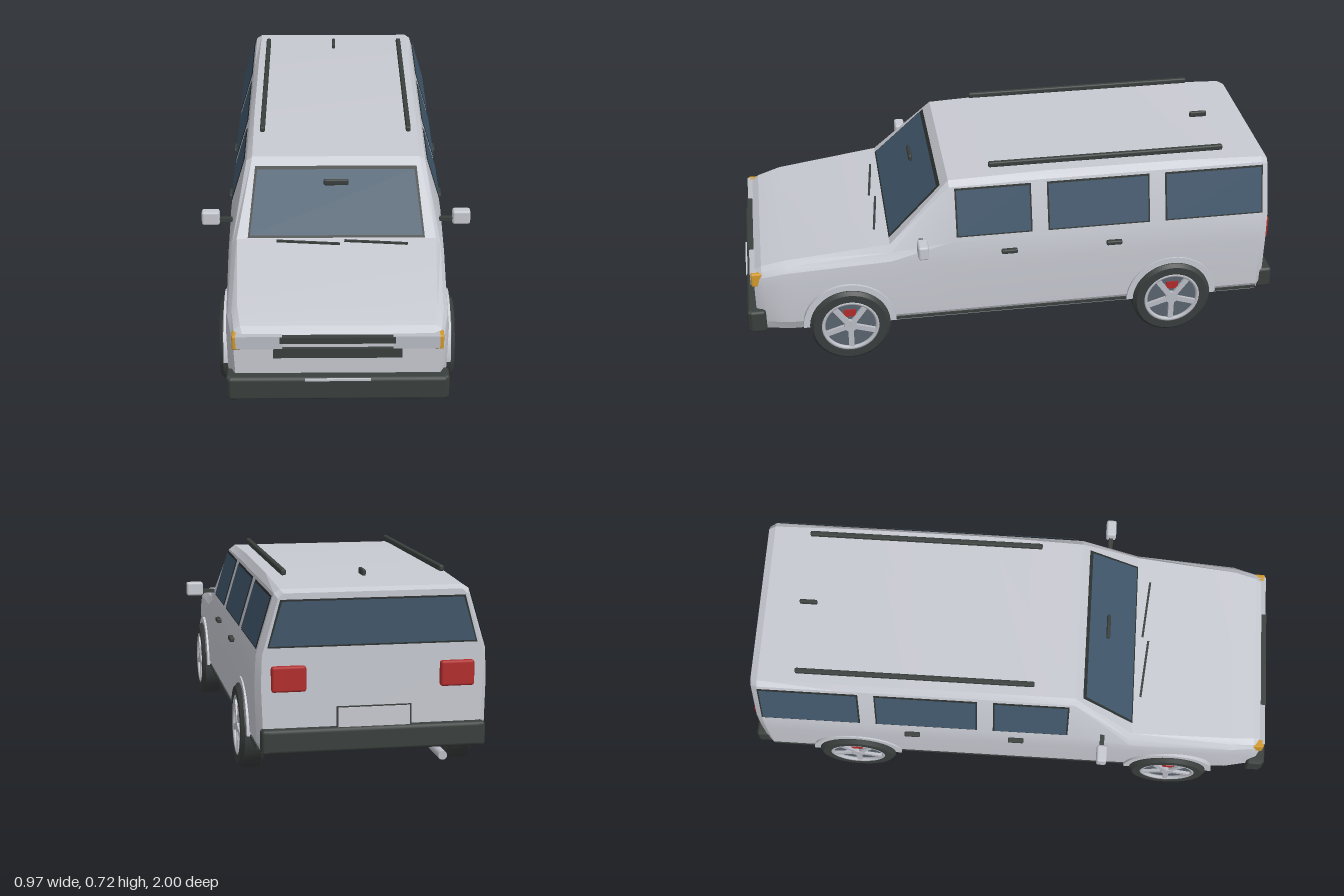
import * as THREE from 'three';
import { toCreasedNormals } from 'three/addons/utils/BufferGeometryUtils.js';
import { RoundedBoxGeometry } from 'three/addons/geometries/RoundedBoxGeometry.js';

const mat = (name, color, side = THREE.FrontSide) => {
  const m = new THREE.MeshStandardMaterial({ color, side });
  m.name = name;
  return m;
};

export function createModel() {
  const silver = mat('silverPaint', 0xc8cad2);
  const trim = mat('blackTrim', 0x3a403d);
  const seal = mat('windowSeal', 0x2c3130, THREE.DoubleSide);
  const glass = mat('tintedGlass', 0x40566a, THREE.DoubleSide);
  const rubber = mat('tyreRubber', 0x393e3d);
  const alloy = mat('alloy', 0xbcbec6);
  const brake = mat('brakeSteel', 0x5a6470);
  const red = mat('redLens', 0xb22c2c);
  const amber = mat('amberLens', 0xd29a2c);

  const car = new THREE.Group();
  car.name = 'estateCar';

  const add = (name, geo, material, x = 0, y = 0, z = 0, parent = car) => {
    const m = new THREE.Mesh(geo, material);
    m.name = name;
    m.position.set(x, y, z);
    parent.add(m);
    return m;
  };
  const box = (name, w, h, d, material, x, y, z, parent) =>
    add(name, new THREE.BoxGeometry(w, h, d), material, x, y, z, parent);
  const soft = (name, w, h, d, r, material, x, y, z) =>
    add(name, new RoundedBoxGeometry(w, h, d, 1, r), material, x, y, z);
  const quad = (name, pts, material) => {
    const g = new THREE.BufferGeometry();
    g.setAttribute('position', new THREE.Float32BufferAttribute(pts.flat(), 3));
    g.setIndex([0, 1, 2, 0, 2, 3]);
    g.computeVertexNormals();
    return add(name, g, material);
  };

  // Body shell: half sections (x, y) from sill to roof edge, lofted along z
  const sections = [
    [-0.93, [.35, .135], [.365, .17], [.372, .36], [.368, .46], [.315, .645], [.297, .662]],
    [-0.905, [.365, .127], [.385, .165], [.39, .36], [.385, .46], [.325, .66], [.305, .673]],
    [-0.6, [.365, .127], [.385, .165], [.39, .36], [.385, .46], [.325, .66], [.307, .684]],
    [-0.1, [.365, .127], [.385, .165], [.39, .36], [.385, .46], [.325, .66], [.307, .685]],
    [0.25, [.365, .127], [.385, .165], [.39, .36], [.385, .46], [.325, .655], [.303, .672]],
    [0.47, [.365, .127], [.385, .165], [.39, .34], [.386, .4], [.373, .43], [.355, .455]],
    [0.85, [.36, .127], [.375, .165], [.378, .33], [.372, .375], [.357, .395], [.337, .41]],
    [0.935, [.345, .13], [.357, .165], [.362, .32], [.357, .355], [.347, .375], [.325, .387]],
    [0.965, [.33, .135], [.342, .165], [.347, .3], [.344, .335], [.336, .355], [.315, .365]],
  ];
  const pos = [], idx = [];
  for (const [z, ...half] of sections) {
    for (const [x, y] of half) pos.push(x, y, z);
    for (const [x, y] of [...half].reverse()) pos.push(-x, y, z);
  }
  const n = 12, last = (sections.length - 1) * n;
  for (let s = 0; s < sections.length - 1; s++) {
    for (let i = 0; i < n; i++) {
      const a = s * n + i, b = s * n + (i + 1) % n;
      idx.push(a, b, b + n, a, b + n, a + n);
    }
  }
  for (let i = 1; i < n - 1; i++) {
    idx.push(0, i + 1, i, last, last + i, last + i + 1);
  }
  const shell = new THREE.BufferGeometry();
  shell.setAttribute('position', new THREE.Float32BufferAttribute(pos, 3));
  shell.setIndex(idx);
  add('bodyShell', toCreasedNormals(shell, 0.3), silver);

  // Side windows on the sloping greenhouse
  const sideX = (y) => 0.385 - (y - 0.46) * 0.3;
  for (const s of [1, -1]) {
    for (const [z0, z1] of [[.225, -.04], [-.11, -.475], [-.545, -.9]]) {
      const pane = (name, grow, off, m) => {
        const lo = 0.484 - grow, hi = 0.646 + grow;
        const at = (y, z) => [s * (sideX(y) + off), y, z];
        quad(name, [at(lo, z0 + grow), at(lo, z1 - grow), at(hi, z1 - grow), at(hi, z0 + grow)], m);
      };
      pane('sideWindowSeal', 0.006, 0.004, seal);
      pane('sideWindow', 0, 0.007, glass);
    }
  }

  // Windscreen and rear window, each with a seal behind the glass
  const screen = (name, grow, off, m) => {
    const at = (x, y) => [x, y, 0.47 - (y - 0.455) * 1.014 + off];
    const lo = 0.466 - grow, hi = 0.64 + grow, wl = 0.308 + grow, wh = 0.284 + grow;
    quad(name, [at(-wl, lo), at(wl, lo), at(wh, hi), at(-wh, hi)], m);
  };
  screen('windscreenSeal', 0.008, 0.004, seal);
  screen('windscreen', 0, 0.008, glass);
  const rear = (name, grow, z, m) => {
    const lo = 0.49 - grow, hi = 0.636 + grow, wl = 0.345 + grow, wh = 0.302 + grow;
    quad(name, [[wl, lo, z], [-wl, lo, z], [-wh, hi, z], [wh, hi, z]], m);
  };
  rear('rearWindowSeal', 0.006, -0.933, seal);
  rear('rearWindow', 0, -0.936, glass);

  // Bumpers with wrapped corners, plates
  soft('frontBumper', .74, .088, .055, .012, trim, 0, .175, .9725);
  soft('rearBumper', .74, .08, .045, .012, trim, 0, .178, -.945);
  for (const s of [1, -1]) {
    soft('frontBumperCorner', .03, .088, .06, .01, trim, s * .36, .175, .962);
    soft('rearBumperCorner', .03, .08, .055, .01, trim, s * .36, .178, -.94);
  }
  box('frontPlate', .22, .008, .006, silver, 0, .213, .998);
  box('rearPlateBorder', .25, .08, .004, trim, 0, .247, -.948);
  box('rearPlate', .24, .072, .006, silver, 0, .247, -.95);

  // Grille bars
  box('upperGrille', .385, .024, .024, trim, 0, .356, .968);
  box('lowerGrille', .43, .036, .018, trim, 0, .304, .968);

  // Roof antenna, interior mirror, wipers, exhaust
  soft('antenna', .014, .022, .065, .005, trim, 0, .7, -.745);
  soft('viewMirror', .09, .024, .014, .006, trim, 0, .624, .36);
  for (const x of [-.1, .14]) {
    box('wiper', .225, .007, .008, trim, x, .461, .508).rotation.y = -0.1;
  }
  const pipe = add('exhaust', new THREE.CylinderGeometry(.015, .015, .13, 16), alloy, -.22, .119, -.935);
  pipe.rotation.x = Math.PI / 2;

  // Mirrored details
  for (const s of [1, -1]) {
    box('headlight', .155, .048, .03, alloy, s * .262, .346, .962);
    soft('cornerLight', .034, .054, .045, .006, amber, s * .336, .343, .952);
    soft('tailLight', .115, .085, .03, .008, red, s * .282, .382, -.935);
    soft('roofRail', .018, .02, .865, .005, trim, s * .27, .706, -.333);
    box('mirrorStalk', .055, .014, .016, trim, s * .402, .474, .36);
    soft('wingMirror', .065, .053, .038, .008, silver, s * .453, .484, .36);
    for (const z of [.04, -.348]) soft('doorHandle', .018, .016, .058, .004, trim, s * .395, .41, z);
    for (const [z0, z1] of [[.46, -.41], [-.74, -.905]]) {
      box('sillStrip', .008, .01, z0 - z1, trim, s * .38, .148, (z0 + z1) / 2);
    }
  }

  // Wheels, built with the axle along +x, and arch lips above them
  const tyreProfile = [[.098, -.042], [.135, -.042], [.147, -.03], [.147, .03], [.135, .042],
    [.106, .042], [.1, .026]].map(([r, a]) => new THREE.Vector2(r, a));
  const tyreGeo = toCreasedNormals(new THREE.LatheGeometry(tyreProfile, 40).rotateZ(-Math.PI / 2), 0.6);
  const disc = (r, d) => new THREE.CylinderGeometry(r, r, d, 32).rotateZ(-Math.PI / 2);
  const rimGeo = new THREE.TorusGeometry(.1, .008, 8, 40).rotateY(Math.PI / 2);

  const lipShape = new THREE.Shape();
  lipShape.absarc(0, 0, .17, 0, Math.PI, false);
  lipShape.absarc(0, 0, .147, Math.PI, 0, true);
  const lipGeo = new THREE.ExtrudeGeometry(lipShape, { depth: .02, bevelEnabled: false, curveSegments: 24 })
    .rotateY(Math.PI / 2);

  for (const s of [1, -1]) {
    for (const z of [.63, -.575]) {
      const wheel = new THREE.Group();
      wheel.name = 'wheel';
      wheel.position.set(s * .368, .147, z);
      if (s < 0) wheel.rotation.y = Math.PI;
      car.add(wheel);
      add('tyre', tyreGeo, rubber, 0, 0, 0, wheel);
      add('wheelBack', disc(.1, .02), rubber, -.03, 0, 0, wheel);
      add('brakeDisc', disc(.1, .02), brake, .018, 0, 0, wheel);
      add('rim', rimGeo, alloy, .034, 0, 0, wheel);
      add('hub', disc(.024, .014), alloy, .034, 0, 0, wheel);
      box('caliper', .006, .03, .045, red, .029, .052, 0, wheel);
      for (let i = 0; i < 5; i++) {
        const spoke = new THREE.Group();
        spoke.name = 'spoke';
        spoke.rotation.x = (i + 0.5) * Math.PI * 0.4;
        wheel.add(spoke);
        box('spokeBar', .01, .085, .02, alloy, .034, .058, 0, spoke);
      }
      add('archLip', lipGeo, silver, s > 0 ? .374 : -.394, .147, z);
    }
  }
  return car;
}
